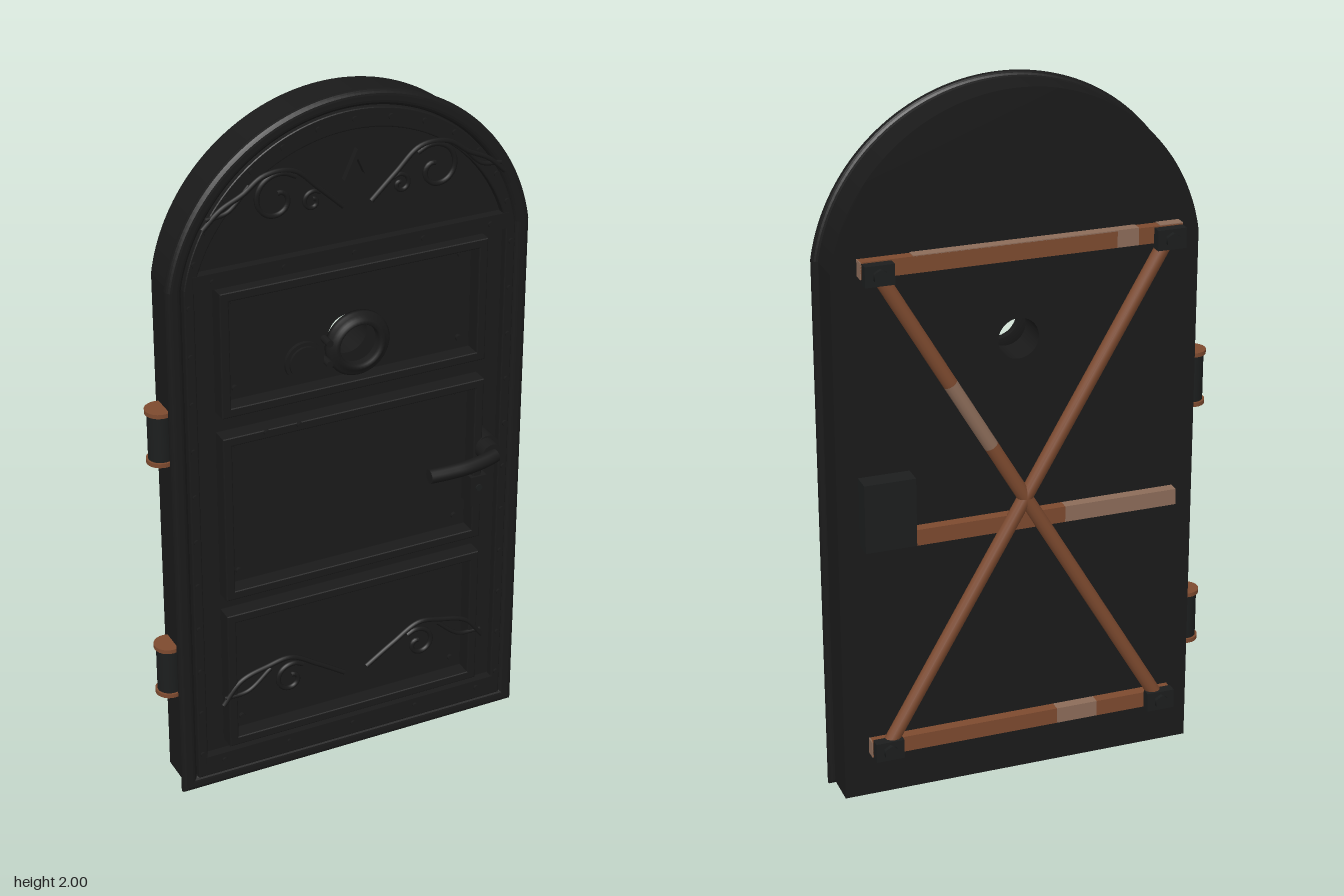
import * as THREE from 'three';

const mat = (name, color) => Object.assign(new THREE.MeshStandardMaterial({ color }), { name });

export function createModel() {
  const door = new THREE.Group();
  door.name = 'archedDoor';
  const black = mat('charcoal', 0x1a1a1a);
  const iron = mat('darkIron', 0x1c1e1e);
  const copper = mat('copper', 0x7d4a2f);
  const worn = mat('wornCopper', 0x8c6c59);
  const CX = 0.018;                       // door leaf centre
  const EYE = [0.018, 1.31];              // porthole centre

  const add = (name, geo, material, x = 0, y = 0, z = 0) => {
    const m = new THREE.Mesh(geo, material);
    m.name = name;
    m.position.set(x, y, z);
    door.add(m);
    return m;
  };
  const box = (name, material, x0, x1, y0, y1, z0, z1) =>
    add(name, new THREE.BoxGeometry(x1 - x0, y1 - y0, z1 - z0), material, (x0 + x1) / 2, (y0 + y1) / 2, (z0 + z1) / 2);
  // disc or drum whose axis runs front to back
  const drum = (name, material, x, y, z0, z1, r, seg = 24) => {
    const g = new THREE.CylinderGeometry(r, r, z1 - z0, seg).rotateX(Math.PI / 2);
    return add(name, g, material, x, y, (z0 + z1) / 2);
  };
  const rivet = (x, y, z) => drum('rivet', black, x, y, z - 0.006, z + 0.004, 0.008, 10);

  // arch outline inset from the full silhouette; its arc meets the jambs at a slight angle
  const SPRING = 1.55;
  const arch = (dx, dTop, dBottom, Type = THREE.Shape) => {
    const w = 0.524 - dx, sag = 2 - dTop - SPRING;
    const r = (w * w + sag * sag) / (2 * sag);
    const a = Math.asin((r - sag) / r);
    const s = new Type();
    s.moveTo(CX - w, dBottom);
    s.lineTo(CX + w, dBottom);
    s.lineTo(CX + w, SPRING);
    s.absarc(CX, SPRING + sag - r, r, a, Math.PI - a, false);
    s.closePath();
    return s;
  };
  const rect = (x0, x1, y0, y1, Type = THREE.Shape) => {
    const s = new Type();
    s.moveTo(x0, y0);
    s.lineTo(x1, y0);
    s.lineTo(x1, y1);
    s.lineTo(x0, y1);
    s.closePath();
    return s;
  };
  const slab = (name, shape, holes, z0, z1, bevel = 0) => {
    shape.holes.push(...holes);
    const g = new THREE.ExtrudeGeometry(shape, {
      depth: z1 - z0 - 2 * bevel, curveSegments: 40, bevelEnabled: bevel > 0,
      bevelSize: bevel, bevelThickness: bevel, bevelSegments: 4,
    });
    return add(name, g, black, 0, 0, z0 + bevel);
  };

  // leaf, rounded rim and riveted band
  slab('leaf', arch(0.015, 0.012, 0.015), [new THREE.Path().absarc(...EYE, 0.057, 0, Math.PI * 2, true)], -0.08, 0.02);
  slab('rim', arch(0.015, 0.015, 0.015), [arch(0.028, 0.028, 0.028, THREE.Path)], 0.026, 0.058, 0.0149);
  slab('band', arch(0.05, 0.048, 0.045), [arch(0.07, 0.095, 0.065, THREE.Path)], 0.035, 0.06, 0.004);
  for (let i = 0; i < 11; i++)
    for (const s of [-1, 1]) rivet(CX + s * 0.465, 0.12 + i * 0.138, 0.062);
  for (let i = 1; i < 14; i++) {
    const a = (i / 14) * Math.PI;
    rivet(CX + Math.cos(a) * 0.46, 1.53 + Math.sin(a) * 0.4, 0.062);
  }

  // cross strips with rivets
  for (const [y0, y1] of [[1.54, 1.585], [0.06, 0.105]]) {
    box('crossStrip', black, CX - 0.455, CX + 0.455, y0, y1, 0.035, 0.062);
    for (let i = -2; i <= 2; i++) rivet(CX + i * 0.2, (y0 + y1) / 2, 0.064);
  }
  for (const x of [-0.25, -0.155]) rivet(x, 1.11, 0.09);

  // three raised panel mouldings with corner rivets
  const L = -0.37, R = 0.406;
  for (const [y0, y1] of [[1.17, 1.53], [0.61, 1.11], [0.13, 0.56]]) {
    slab('panelMoulding', rect(L + 0.004, R - 0.004, y0 + 0.004, y1 - 0.004),
      [rect(L + 0.022, R - 0.022, y0 + 0.022, y1 - 0.022, THREE.Path)], 0.026, 0.076, 0.004);
    for (const x of [L + 0.06, R - 0.055])
      for (const y of [y0 + 0.055, y1 - 0.055]) drum('cornerRivet', black, x, y, 0.02, 0.03, 0.009, 10);
  }

  // porthole ring and its swung-aside cover
  const ring = [[0.057, 0.072], [0.092, 0.072], [0.092, 0.085], [0.085, 0.092], [0.074, 0.092], [0.072, 0.1], [0.06, 0.1], [0.057, 0.092], [0.057, 0.072]]
    .map(([r, z]) => new THREE.Vector2(r, -z));
  add('portholeRing', new THREE.LatheGeometry(ring.reverse(), 40).rotateX(-Math.PI / 2), black, EYE[0], EYE[1], 0);
  drum('portholeCover', black, -0.153, 1.31, 0.108, 0.119, 0.055, 32);
  drum('coverFace', black, -0.153, 1.31, 0.119, 0.127, 0.045, 32);
  for (const y of [1.28, 1.34]) drum('coverPivot', black, -0.076, y, 0.072, 0.11, 0.01, 12);

  // scroll ornaments, mirrored about the door centre
  const tube = (name, pts, r, z, side) => {
    const path = new THREE.CatmullRomCurve3(pts.map(([x, y]) => new THREE.Vector3(CX + side * x, y, z)));
    add(name, new THREE.TubeGeometry(path, 48, r, 6), black);
  };
  const spiral = (cx, cy, r) => Array.from({ length: 15 }, (_, i) => {
    const a = Math.PI * 0.75 - i * 0.5, q = r * (1 - i / 18);
    return [cx + Math.cos(a) * q, cy + Math.sin(a) * q];
  });
  for (const s of [-1, 1]) {
    tube('upperScroll', [[0.43, 1.715], [0.38, 1.76], [0.32, 1.79], [0.26, 1.83], [0.18, 1.83], [0.11, 1.77], [0.04, 1.705]], 0.007, 0.075, s);
    tube('upperSpiral', spiral(0.225, 1.76, 0.075), 0.007, 0.075, s);
    tube('upperLeaf', [[0.42, 1.74], [0.36, 1.75], [0.3, 1.81]], 0.006, 0.073, s);
    tube('upperCurl', spiral(0.125, 1.735, 0.03), 0.006, 0.073, s);
    tube('lowerScroll', [[0.405, 0.275], [0.35, 0.34], [0.27, 0.365], [0.2, 0.375], [0.12, 0.33], [0.035, 0.275]], 0.007, 0.075, s);
    tube('lowerSpiral', spiral(0.2, 0.305, 0.052), 0.007, 0.075, s);
    tube('lowerLeaf', [[0.4, 0.295], [0.33, 0.3], [0.26, 0.355]], 0.006, 0.073, s);
  }

  // central chevron crest
  const crest = new THREE.Shape([[-0.037, 1.775], [-0.02, 1.785], [0, 1.83], [0.02, 1.785], [0.037, 1.775], [0, 1.855]]
    .map(([x, y]) => new THREE.Vector2(CX + x, y)));
  slab('crest', crest, [], 0.06, 0.078);

  // lever handle and lock plate
  drum('handleRose', black, 0.42, 0.895, 0.02, 0.08, 0.036);
  drum('handleShaft', black, 0.413, 0.895, 0.08, 0.122, 0.031);
  const lever = new THREE.CatmullRomCurve3([[0.42, 0.893, 0.125], [0.385, 0.89, 0.134], [0.32, 0.887, 0.143], [0.27, 0.886, 0.143], [0.208, 0.886, 0.14]]
    .map((p) => new THREE.Vector3(...p)));
  add('lever', new THREE.TubeGeometry(lever, 24, 0.02, 12), black);
  add('leverEnd', new THREE.CircleGeometry(0.02, 12).rotateY(-Math.PI / 2), black, 0.208, 0.886, 0.14);
  box('lockPlate', black, 0.37, 0.42, 0.72, 0.81, 0.03, 0.083);
  drum('keyhole', iron, 0.395, 0.775, 0.083, 0.087, 0.01, 12);

  // hinges
  for (const y of [0.38, 1.11]) {
    add('hingeBarrel', new THREE.CylinderGeometry(0.034, 0.034, 0.14, 24), iron, -0.505, y, -0.025);
    for (const s of [-1, 1])
      add('hingeCap', new THREE.CylinderGeometry(0.04, 0.04, 0.012, 24), copper, -0.505, y + s * 0.073, -0.025);
  }

  // rear cross bars, in bright and worn lengths
  const bar = (y, cuts) => {
    for (let i = 0; i + 1 < cuts.length; i++)
      box('rearBar', i % 2 ? worn : copper, cuts[i], cuts[i + 1], y - 0.023, y + 0.023, -0.125, -0.095);
  };
  bar(1.567, [-0.425, -0.3, -0.24, 0.459]);
  for (const [x0, x1] of [[-0.425, -0.36], [-0.3, 0.32]])
    box('wornBarTop', worn, x0, x1, 1.589, 1.592, -0.125, -0.095);
  bar(0.18, [-0.425, -0.2, -0.08, 0.459]);
  box('wornMidBar', worn, -0.425, -0.1, 0.777, 0.823, -0.125, -0.095);
  box('midBar', copper, -0.1, 0.345, 0.777, 0.823, -0.125, -0.095);
  for (const y of [0.18, 1.567]) box('wornBarEnd', worn, 0.457, 0.461, y - 0.023, y + 0.023, -0.125, -0.095);
  box('rearLockBox', iron, 0.33, 0.472, 0.79, 0.985, -0.15, -0.095);

  // diagonal braces
  const brace = (name, material, a, b, z) => {
    const len = Math.hypot(b[0] - a[0], b[1] - a[1]);
    const m = add(name, new THREE.CylinderGeometry(0.02, 0.02, len, 12), material, (a[0] + b[0]) / 2, (a[1] + b[1]) / 2, z);
    m.rotation.z = Math.atan2(b[1] - a[1], b[0] - a[0]) - Math.PI / 2;
  };
  const at = (a, b, t) => [a[0] + (b[0] - a[0]) * t, a[1] + (b[1] - a[1]) * t];
  for (const [s, cuts] of [[1, [0, 0.24, 0.38, 1]], [-1, [0, 1]]]) {
    const a = [CX + s * 0.4, 1.56], b = [CX - s * 0.4, 0.185];
    for (let i = 0; i + 1 < cuts.length; i++)
      brace('diagonalBrace', i % 2 ? worn : copper, at(a, b, cuts[i]), at(a, b, cuts[i + 1]), -0.13);
    // corner clamps with bolt heads
    for (const [x, y] of [a, b]) {
      box('braceClamp', iron, x - 0.04, x + 0.04, y - 0.028, y + 0.028, -0.156, -0.128);
      drum('clampBolt', iron, x, y, -0.167, -0.155, 0.02, 6);
    }
  }
  return door;
}
